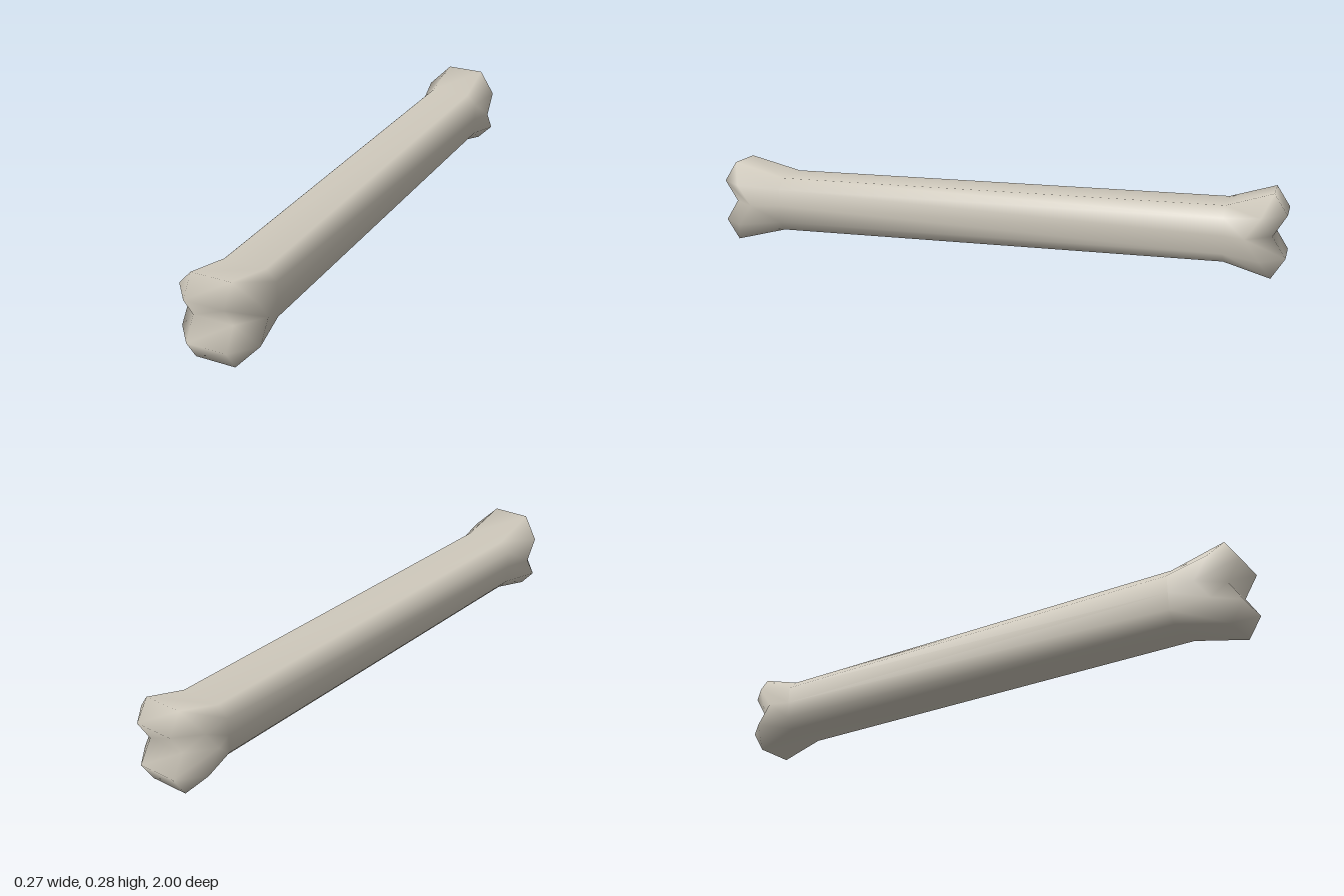
import * as THREE from 'three';

export function createModel() {
  const boneMaterial = new THREE.MeshStandardMaterial({ color: 0xd0cabd });
  boneMaterial.name = 'bone';
  const midY = 0.1425;
  const positions = [], index = [];
  const quad = (a, b, c, d) => index.push(a, b, c, a, c, d);

  // Ten-point cross-section, counter-clockwise from the upper +x corner.
  // Each quarter point is [x, y, z]: top corner, side corner, side middle.
  const addRing = ([t, s, m]) => {
    const start = positions.length / 3;
    const put = (p, sx, sy) => positions.push(p[0] * sx, midY + p[1] * sy, p[2]);
    put(t, 1, 1); put(t, -1, 1); put(s, -1, 1); put(m, -1, 1); put(s, -1, -1);
    put(t, -1, -1); put(t, 1, -1); put(s, 1, -1); put(m, 1, 1); put(s, 1, 1);
    return start;
  };
  const knob = (e) => [[0.068, 0.1425, 0.955 * e], [0.135, 0.0725, 0.92 * e], [0.135, 0, 0.87 * e]];
  const shaft = (z) => [[0.072, 0.095, z], [0.108, 0.06, z], [0.108, 0, z]];

  // Shaft and the flare into both knobs
  const rings = [knob(-1), shaft(-0.8), shaft(0.77), knob(1)].map(addRing);
  for (let r = 0; r < 3; r++) {
    for (let i = 0; i < 10; i++) {
      const j = (i + 1) % 10;
      quad(rings[r] + i, rings[r] + j, rings[r + 1] + j, rings[r + 1] + i);
    }
  }

  // Notched end: two rounded tips with a valley between them
  const addEnd = (k, e) => {
    const t = positions.length / 3;
    for (const [y, z] of [[0.0725, 1], [0, 0.955], [-0.0725, 1]]) {
      positions.push(0.068, midY + y, z * e, -0.068, midY + y, z * e);
    }
    const face = (...v) => {
      if (e < 0) v.reverse();
      if (v.length === 4) quad(...v);
      else index.push(...v);
    };
    face(k, k + 1, t + 1, t);
    face(t, t + 1, t + 3, t + 2);
    face(t + 2, t + 3, t + 5, t + 4);
    face(t + 4, t + 5, k + 5, k + 6);
    // -x flank
    face(k + 1, k + 2, t + 1);
    face(t + 1, k + 2, k + 3, t + 3);
    face(t + 3, k + 3, k + 4, t + 5);
    face(t + 5, k + 4, k + 5);
    // +x flank
    face(k + 9, k, t);
    face(k + 8, k + 9, t, t + 2);
    face(k + 7, k + 8, t + 2, t + 4);
    face(k + 6, k + 7, t + 4);
  };
  addEnd(rings[0], -1);
  addEnd(rings[3], 1);

  const geometry = new THREE.BufferGeometry();
  geometry.setAttribute('position', new THREE.Float32BufferAttribute(positions, 3));
  geometry.setIndex(index);
  geometry.computeVertexNormals();

  const bone = new THREE.Mesh(geometry, boneMaterial);
  bone.name = 'bone';
  const group = new THREE.Group();
  group.name = 'boneModel';
  group.add(bone);
  return group;
}
